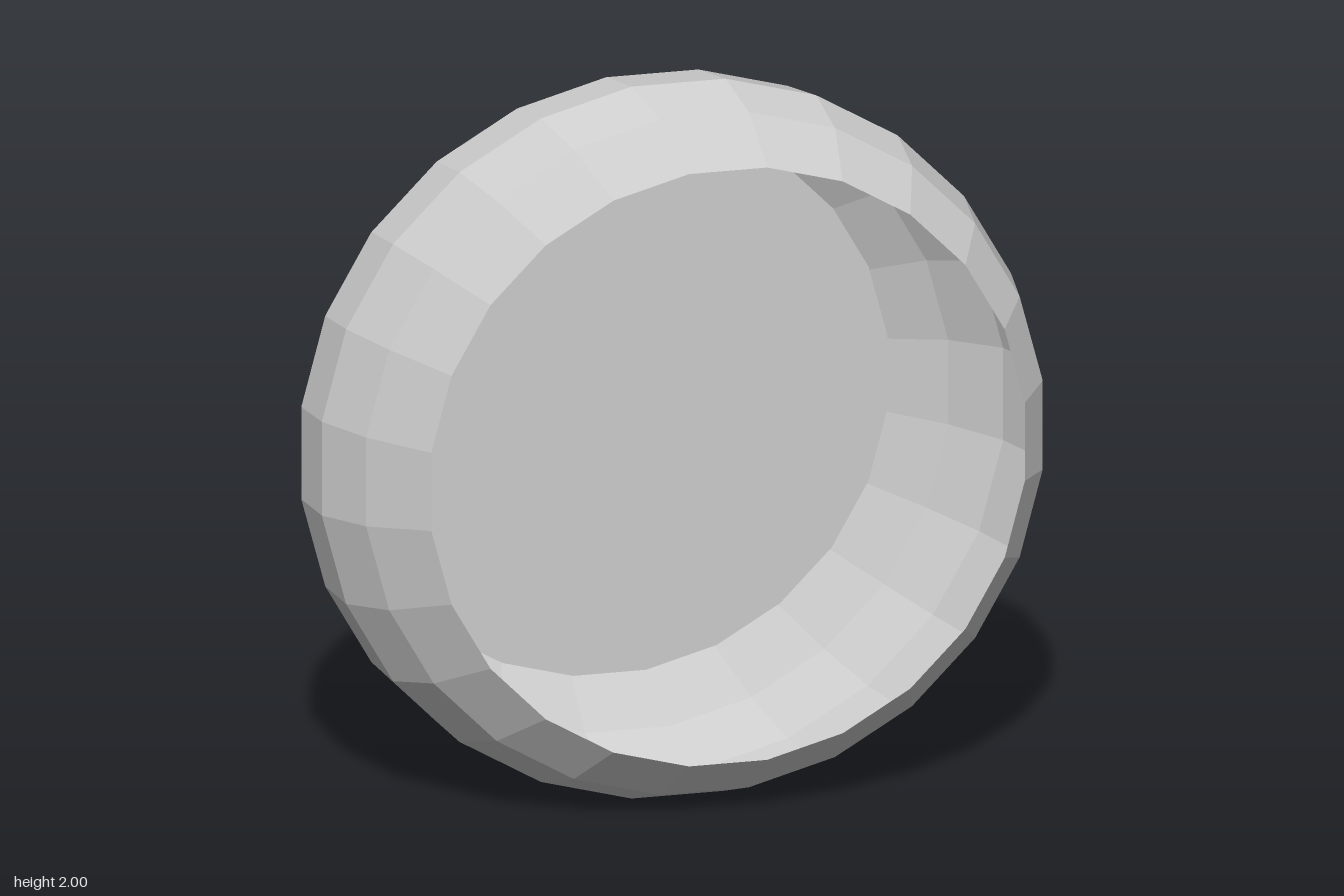
import * as THREE from 'three';

const RADIUS = 1.01;
const SIDES = 24;
const STEP = (Math.PI * 2) / SIDES;
const TILT = 0.21; // the opening turns slightly towards +x

// Tilt a part whose axis is +z, then squash it from front to back
function place(geometry) {
  return geometry.rotateY(TILT).scale(0.98, 1, 0.467).translate(-0.003, 1, 0.061);
}

export function createModel() {
  const group = new THREE.Group();
  const material = new THREE.MeshStandardMaterial({
    color: 0xcccccc, flatShading: true, side: THREE.DoubleSide,
  });

  // Thin open bowl: sphere rings every 15 degrees from the back tip to the rim
  const profile = [new THREE.Vector2(0, -RADIUS)];
  const firstRing = THREE.MathUtils.degToRad(3.9);
  for (let i = 0; i < 9; i++) {
    const a = firstRing + i * STEP;
    profile.push(new THREE.Vector2(RADIUS * Math.sin(a), -RADIUS * Math.cos(a)));
  }
  const shell = new THREE.LatheGeometry(profile, SIDES, STEP / 2).rotateX(Math.PI / 2);
  const bowl = new THREE.Mesh(place(shell), material);
  bowl.name = 'bowlShell';
  group.add(bowl);

  // Flat disc set inside the bowl
  const disc = new THREE.CircleGeometry(0.785, SIDES, STEP / 2).translate(0, 0.01, -0.62);
  const floor = new THREE.Mesh(place(disc), material);
  floor.name = 'innerDisc';
  group.add(floor);

  return group;
}
